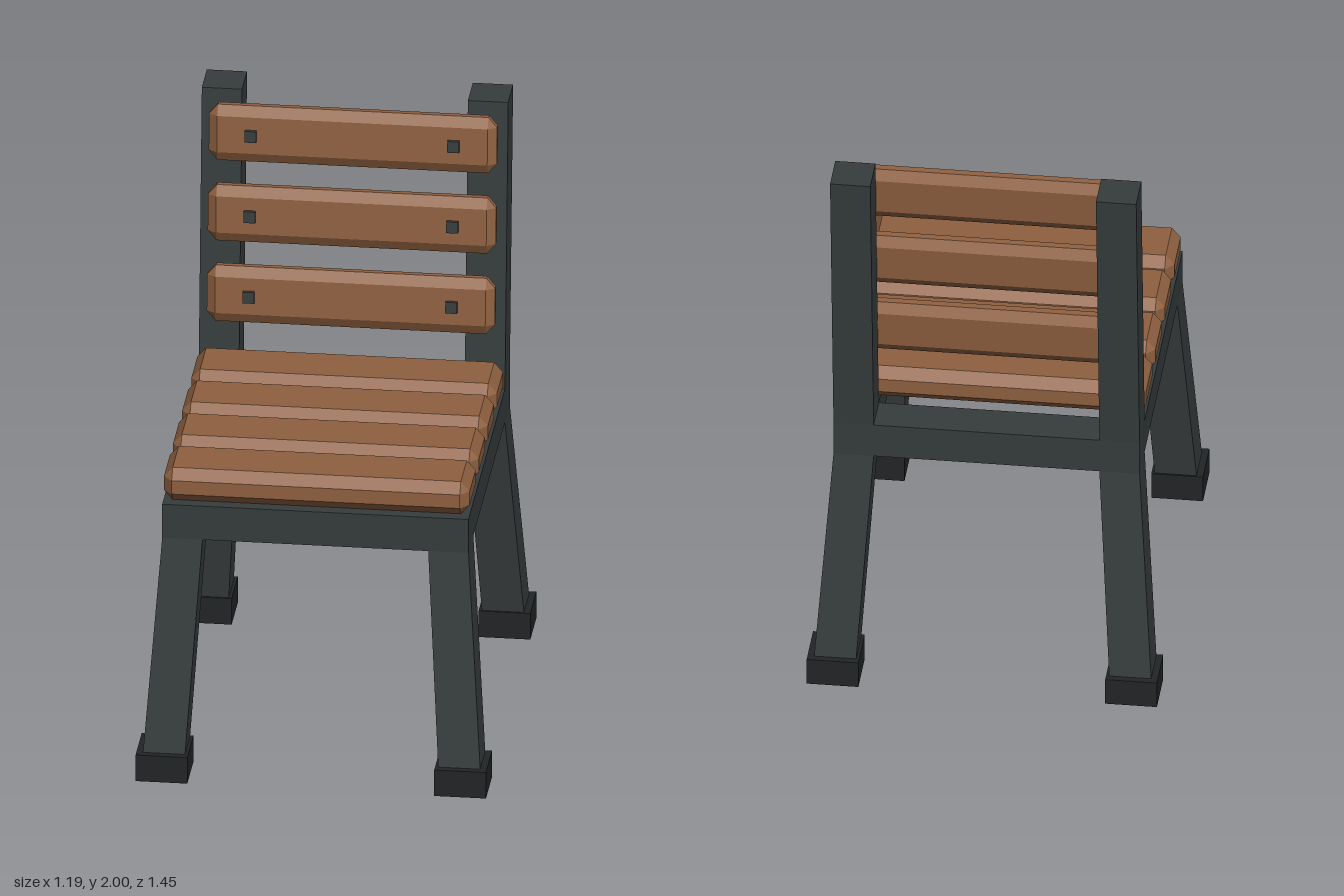
import * as THREE from 'three';
import { ConvexGeometry } from 'three/addons/geometries/ConvexGeometry.js';

const wood = new THREE.MeshStandardMaterial({ color: 0x8f6040 });
const metal = new THREE.MeshStandardMaterial({ color: 0x363c3d });
const rubber = new THREE.MeshStandardMaterial({ color: 0x222526 });

function addMesh(parent, name, geometry, material, x = 0, y = 0, z = 0) {
  const mesh = new THREE.Mesh(geometry, material);
  mesh.name = name;
  mesh.position.set(x, y, z);
  parent.add(mesh);
  return mesh;
}

// Box with every edge chamfered; cx, cy, cz are the cuts along each axis
function chamferBox(w, h, d, cx, cy, cz) {
  const points = [];
  for (const sx of [-1, 1]) for (const sy of [-1, 1]) for (const sz of [-1, 1]) {
    const x = w / 2, y = h / 2, z = d / 2;
    points.push(
      new THREE.Vector3(sx * x, sy * (y - cy), sz * (z - cz)),
      new THREE.Vector3(sx * (x - cx), sy * y, sz * (z - cz)),
      new THREE.Vector3(sx * (x - cx), sy * (y - cy), sz * z)
    );
  }
  return new ConvexGeometry(points);
}

// Slanted square bar between two level rectangles { y, x: [a, b], z: [a, b] }
function slantedBar(bottom, top) {
  const points = [];
  for (const r of [bottom, top])
    for (const x of r.x) for (const z of r.z) points.push(new THREE.Vector3(x, r.y, z));
  return new ConvexGeometry(points);
}

export function createModel() {
  const chair = new THREE.Group();
  chair.name = 'chair';

  // Seat frame: a ring of four rails
  const frame = new THREE.Group();
  frame.name = 'seatFrame';
  chair.add(frame);
  for (const s of [-1, 1]) {
    addMesh(frame, 'sideRail', new THREE.BoxGeometry(0.137, 0.125, 1.19), metal, s * 0.4525, 0.9125, 0);
    addMesh(frame, s > 0 ? 'frontRail' : 'backRail',
      new THREE.BoxGeometry(0.768, 0.125, 0.14), metal, 0, 0.9125, s * 0.525);
  }

  // Splayed legs with square feet, and leaning back posts
  for (const sx of [-1, 1]) {
    for (const sz of [-1, 1]) {
      const leg = slantedBar(
        { y: 0.09, x: [sx * 0.431, sx * 0.574], z: [sz * 0.558, sz * 0.704] },
        { y: 0.85, x: [sx * 0.384, sx * 0.521], z: [sz * 0.455, sz * 0.595] });
      addMesh(chair, sz > 0 ? 'frontLeg' : 'backLeg', leg, metal);
      addMesh(chair, 'foot', new THREE.BoxGeometry(0.176, 0.097, 0.176), rubber, sx * 0.508, 0.0485, sz * 0.639);
    }
    const post = slantedBar(
      { y: 0.975, x: [sx * 0.384, sx * 0.521], z: [-0.455, -0.595] },
      { y: 2, x: [sx * 0.384, sx * 0.521], z: [-0.547, -0.69] });
    addMesh(chair, 'backPost', post, metal);
  }

  // Seat slats
  const seatSlat = chamferBox(1.04, 0.12, 0.237, 0.03, 0.035, 0.033);
  for (let i = 0; i < 4; i++)
    addMesh(chair, 'seatSlat', seatSlat, wood, 0, 1.035, 0.467 - i * 0.263);

  // Backrest slats, tilted with the posts, each with two square bolts
  const backSlat = chamferBox(0.98, 0.2, 0.068, 0.03, 0.035, 0.022);
  for (let i = 0; i < 3; i++) {
    const rest = new THREE.Group();
    rest.name = 'backrestSlat';
    rest.position.set(0, 1.29 + i * 0.2865, -0.443 - i * 0.0285);
    rest.rotation.x = -0.09;
    chair.add(rest);
    addMesh(rest, 'backSlat', backSlat, wood);
    for (const s of [-1, 1])
      addMesh(rest, 'bolt', new THREE.BoxGeometry(0.04, 0.04, 0.04), metal, s * 0.345, 0, 0.029);
  }
  return chair;
}
